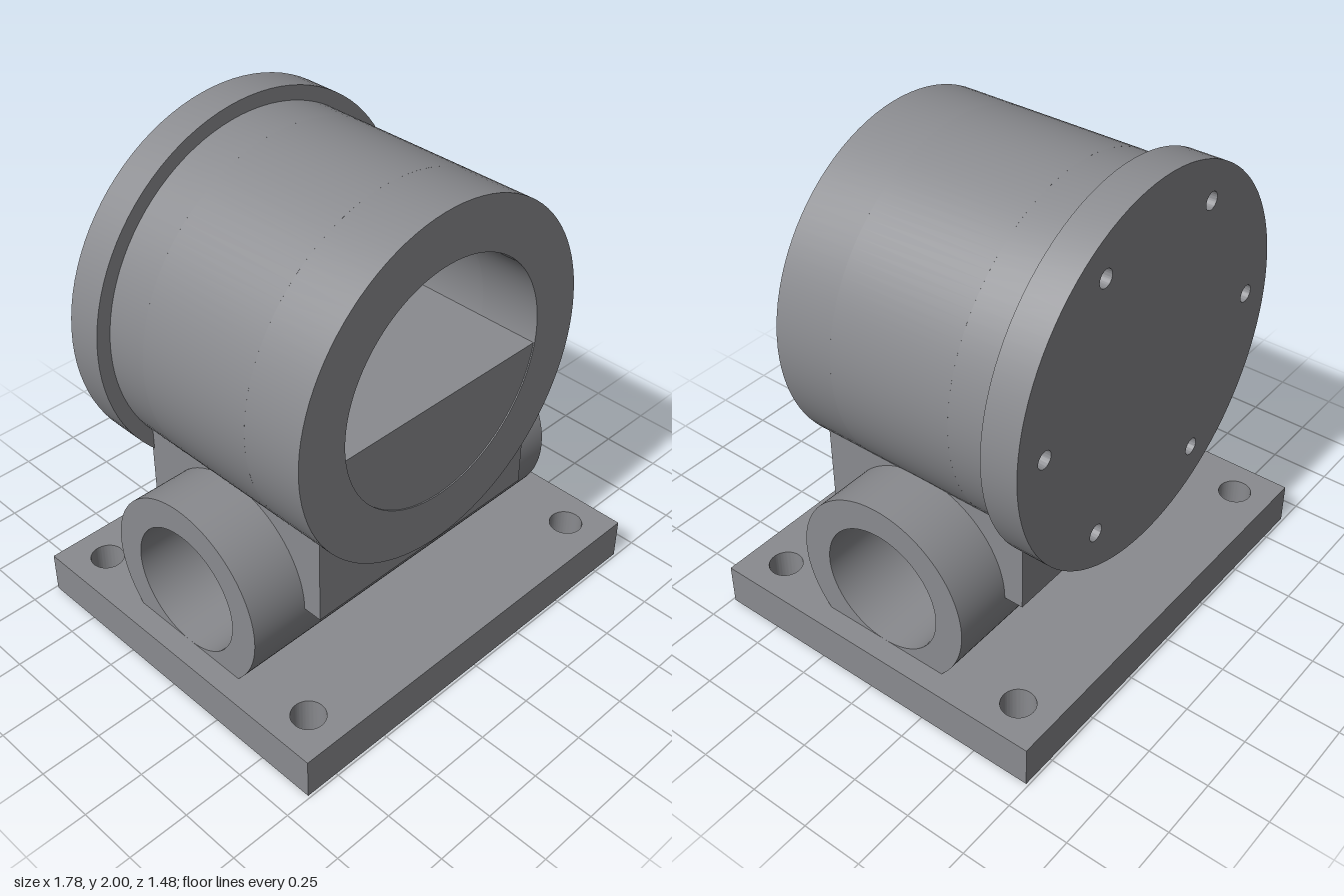
import * as THREE from 'three';
import { toCreasedNormals } from 'three/addons/utils/BufferGeometryUtils.js';

const BODY_Y = 1.235, BODY_R = 0.707, BORE_R = 0.495;
const PIPE_Y = 0.435, PIPE_R = 0.38, PIPE_BORE = 0.26;

function circle(x, y, r, Type = THREE.Path) {
  const c = new Type();
  c.absarc(x, y, r, 0, Math.PI * 2, false);
  return c;
}

function polygon(points, Type = THREE.Shape) {
  return new Type(points.map(([x, y]) => new THREE.Vector2(x, y)));
}

// Extrude a shape from z0 to z1, smooth round walls and sharp rims
function extrude(shape, z0, z1) {
  const geo = new THREE.ExtrudeGeometry(shape, { depth: z1 - z0, bevelEnabled: false, curveSegments: 48 });
  geo.translate(0, 0, z0);
  return toCreasedNormals(geo, 0.5);
}

export function createModel() {
  const model = new THREE.Group();
  model.name = 'pipeMountedHousing';
  const grey = new THREE.MeshStandardMaterial({ color: 0x8a8b8f });
  grey.name = 'grey';

  const add = (name, geo, parent = model) => {
    const mesh = new THREE.Mesh(geo, grey);
    mesh.name = name;
    parent.add(mesh);
  };

  // Base plate with four screw holes
  const plate = polygon([[-0.89, -0.74], [0.89, -0.74], [0.89, 0.74], [-0.89, 0.74]]);
  for (const x of [-0.737, 0.737])
    for (const z of [-0.585, 0.585]) plate.holes.push(circle(x, z, 0.067));
  add('basePlate', extrude(plate, 0, 0.175).rotateX(-Math.PI / 2));

  // Cross pipe running left to right
  const ring = circle(0, PIPE_Y, PIPE_R, THREE.Shape);
  ring.holes.push(circle(0, PIPE_Y, PIPE_BORE));
  add('crossPipe', extrude(ring, -0.8, 0.8).rotateY(Math.PI / 2));

  // Saddle block joining pipe and housing, arched over the pipe bore
  const saddle = new THREE.Shape();
  saddle.moveTo(0.46, PIPE_Y);
  saddle.lineTo(0.46, 0.83);
  saddle.lineTo(-0.46, 0.83);
  saddle.lineTo(-0.46, PIPE_Y);
  saddle.lineTo(-PIPE_BORE, PIPE_Y);
  saddle.absarc(0, PIPE_Y, PIPE_BORE, Math.PI, 0, true);
  saddle.closePath();
  add('saddleBlock', extrude(saddle, -0.555, 0.555).rotateY(Math.PI / 2));

  // Housing barrel; the middle section stops short of the pipe bore
  const barrel = new THREE.Group();
  barrel.name = 'housingBarrel';
  model.add(barrel);
  const full = circle(0, BODY_Y, BODY_R, THREE.Shape);
  const clip = Math.asin((0.72 - BODY_Y) / BODY_R);
  const clipped = new THREE.Shape();
  clipped.absarc(0, BODY_Y, BODY_R, clip, Math.PI - clip, false);
  clipped.closePath();
  for (const s of [full, clipped]) s.holes.push(circle(0, BODY_Y, BORE_R));
  add('barrelFront', extrude(full, 0.265, 0.525), barrel);
  add('barrelMiddle', extrude(clipped, -0.265, 0.265), barrel);
  add('barrelRear', extrude(full, -0.45, -0.265), barrel);

  // Shelf filling the lower part of the bore
  const shelfAngle = Math.asin((1.17 - BODY_Y) / BORE_R);
  const shelf = new THREE.Shape();
  shelf.absarc(0, BODY_Y, BORE_R, Math.PI - shelfAngle, Math.PI * 2 + shelfAngle, false);
  shelf.closePath();
  add('boreShelf', extrude(shelf, -0.44, 0.52));

  // Inner rear wall with a slot near the top
  const wall = circle(0, BODY_Y, BORE_R, THREE.Shape);
  wall.holes.push(polygon([[-0.195, 1.53], [-0.195, 1.68], [0.195, 1.68], [0.195, 1.53]], THREE.Path));
  add('rearWall', extrude(wall, -0.45, -0.36));

  // Rear cap with six screw holes
  const cap = circle(0, BODY_Y, 0.765, THREE.Shape);
  for (let i = 0; i < 6; i++) {
    const a = (i * Math.PI) / 3;
    cap.holes.push(circle(0.62 * Math.cos(a), BODY_Y + 0.62 * Math.sin(a), 0.035));
  }
  add('rearCap', extrude(cap, -0.6, -0.45));

  return model;
}
